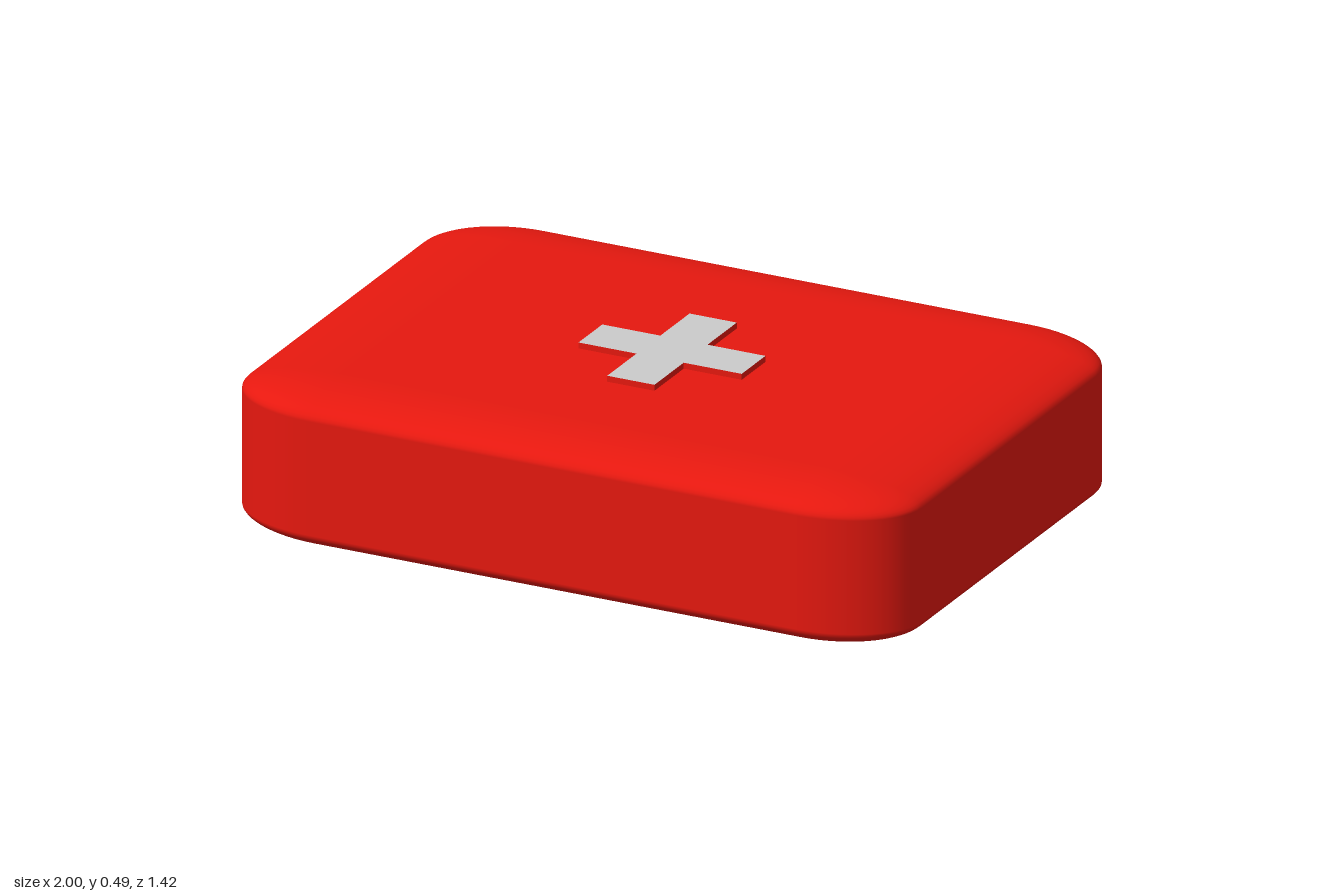
import * as THREE from 'three';
import { RoundedBoxGeometry } from 'three/addons/geometries/RoundedBoxGeometry.js';

const HEIGHT = 0.486;

export function createModel() {
  const model = new THREE.Group();
  model.name = 'firstAidCase';
  const red = new THREE.MeshStandardMaterial({ color: 0xe6180f });
  const grey = new THREE.MeshStandardMaterial({ color: 0xcccccc });

  // Case: a rounded cube squashed to size, so its corners become elliptical
  const caseGeometry = new RoundedBoxGeometry(2, 2, 2, 8, 0.28);
  caseGeometry.scale(1, 0.226, 0.71);
  const body = new THREE.Mesh(caseGeometry, red);
  body.name = 'caseBody';
  body.position.y = HEIGHT / 2;
  model.add(body);

  // Plus-shaped outline: one arm's corners turned four times
  const arm = 0.242, half = 0.07;
  const points = [];
  for (let i = 0; i < 4; i++) {
    for (const [x, y] of [[arm, -half], [arm, half], [half, half]]) {
      points.push(new THREE.Vector2(x, y).rotateAround(new THREE.Vector2(), i * Math.PI / 2));
    }
  }
  const depth = 0.03;
  const plateGeometry = new THREE.ExtrudeGeometry(new THREE.Shape(points), { depth, bevelEnabled: false });
  plateGeometry.rotateX(-Math.PI / 2);

  // Raised plates above and below, grey faces with red edges
  const topPlate = new THREE.Mesh(plateGeometry, [grey, red]);
  topPlate.name = 'topCross';
  topPlate.position.y = HEIGHT - depth;
  const bottomPlate = new THREE.Mesh(plateGeometry, [grey, red]);
  bottomPlate.name = 'bottomCross';
  model.add(topPlate, bottomPlate);

  return model;
}
